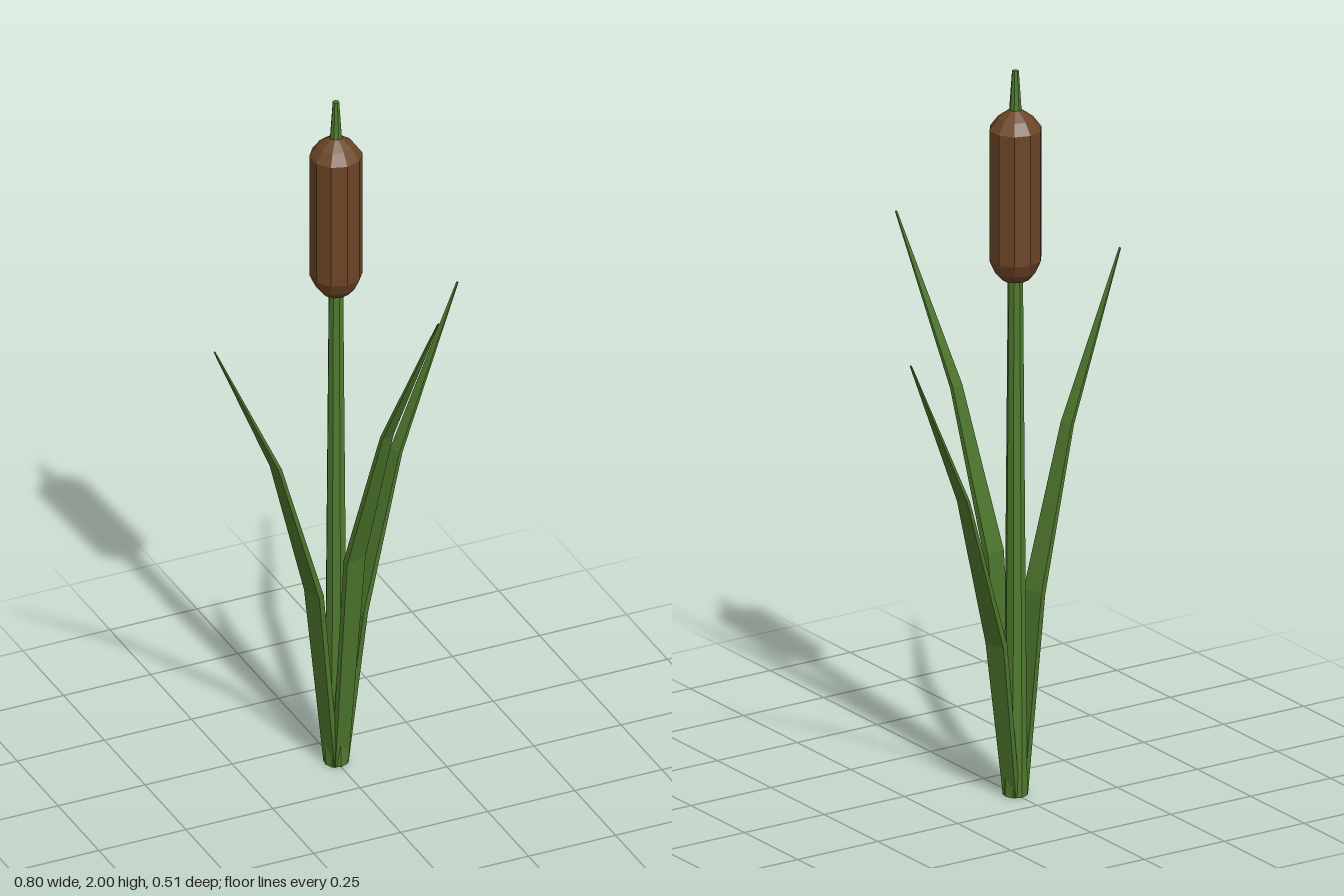
import * as THREE from 'three';

const material = (color) => new THREE.MeshStandardMaterial({ color, flatShading: true });

// Rows of a blade from root to tip: [distance from stem axis, height / tip height is added per leaf, width, thickness]
const BLADE = [
  { out: 0.016, width: 0.045, thick: 0.016 },
  { out: 0.075, width: 0.062, thick: 0.015 },
  { out: 0.205, width: 0.037, thick: 0.010 },
  { out: 0.413, width: 0.005, thick: 0.003 },
];

// A box with three segments, bent outwards and tapered; local +z points away from the stem
function bladeGeometry(heights) {
  const geometry = new THREE.BoxGeometry(1, 3, 1, 1, 3, 1);
  const p = geometry.attributes.position;
  for (let i = 0; i < p.count; i++) {
    const row = Math.round(p.getY(i) + 1.5);
    const { out, width, thick } = BLADE[row];
    // the section leans with the bend
    const lean = row === 0 ? 0 : 0.3;
    const side = p.getZ(i) * thick;
    p.setXYZ(i, p.getX(i) * width, heights[row] - side * lean, out + side);
  }
  geometry.computeVertexNormals();
  return geometry;
}

export function createModel() {
  const plant = new THREE.Group();
  plant.name = 'reedPlant';
  plant.position.z = -0.147;

  const stemGreen = material(0x4f7a2f);
  const leafGreen = material(0x4c742c);
  const brown = material(0x6b4426);

  const add = (name, geometry, mat, y = 0) => {
    const mesh = new THREE.Mesh(geometry, mat);
    mesh.name = name;
    mesh.position.y = y;
    plant.add(mesh);
    return mesh;
  };

  // Tapered stem and the thin spike above the seed head
  add('stem', new THREE.CylinderGeometry(0.02, 0.032, 1.45, 8), stemGreen, 0.725);
  add('spike', new THREE.CylinderGeometry(0.009, 0.018, 0.13, 8), stemGreen, 1.935);

  // Seed head with bevelled ends
  const profile = [
    [0, 1.425], [0.036, 1.425], [0.055, 1.447], [0.07, 1.48],
    [0.07, 1.84], [0.048, 1.87], [0.016, 1.893], [0, 1.893],
  ].map(([r, y]) => new THREE.Vector2(r, y));
  add('seedHead', new THREE.LatheGeometry(profile, 10), brown);

  // Three blades of different heights around the stem
  const leaves = [
    ['frontLeaf', 15, [0, 0.65, 1.08, 1.515]],
    ['leftLeaf', 105, [0, 0.435, 0.865, 1.295]],
    ['rightLeaf', -75, [0, 0.54, 0.97, 1.4]],
  ];
  for (const [name, angle, heights] of leaves) {
    add(name, bladeGeometry(heights), leafGreen).rotation.y = THREE.MathUtils.degToRad(angle);
  }

  const model = new THREE.Group();
  model.name = 'reed';
  model.add(plant);
  return model;
}
